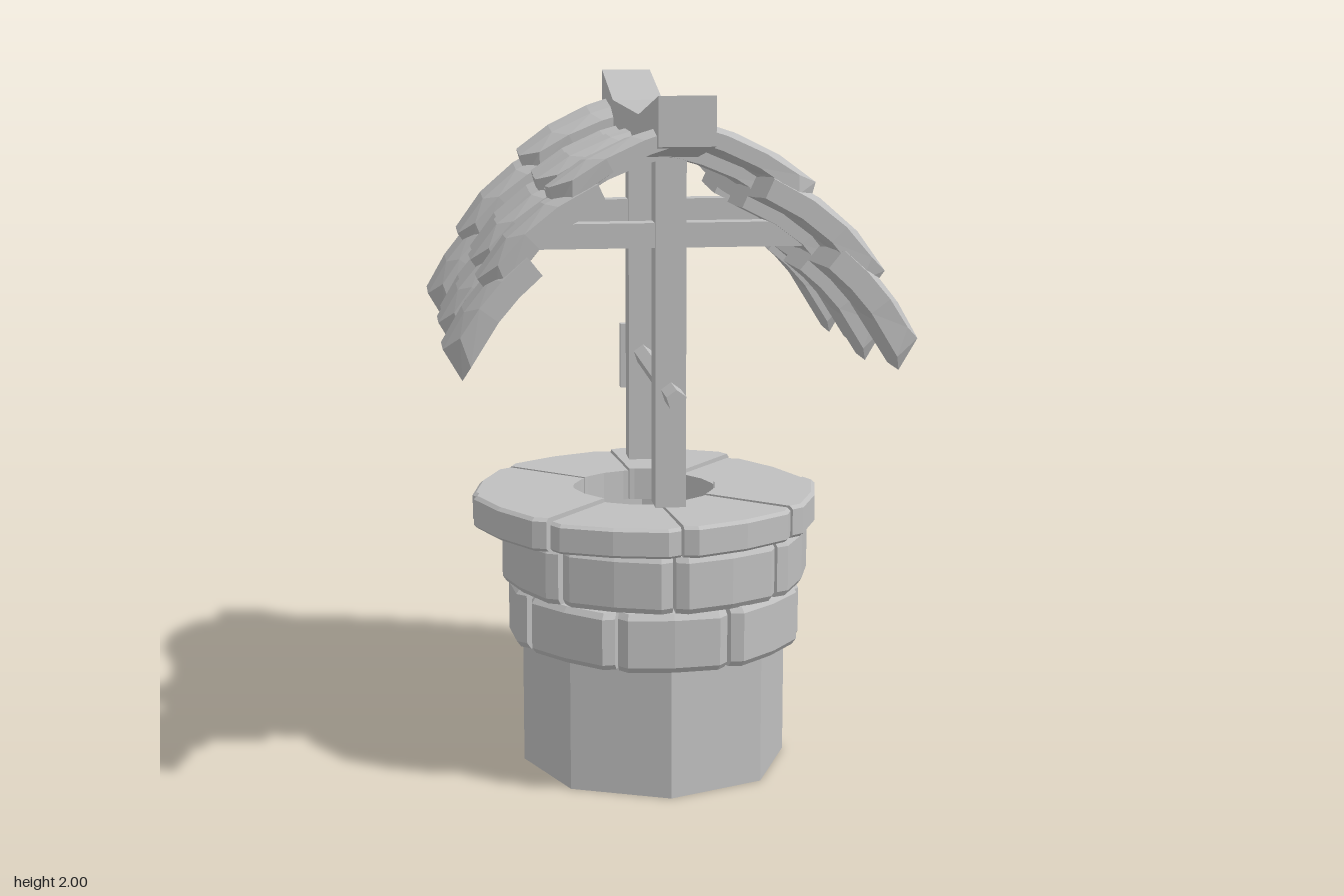
import * as THREE from 'three';

const grey = new THREE.MeshStandardMaterial({ color: 0xbfbfbf, flatShading: true });
grey.name = 'stone grey';

function add(parent, name, geometry, x = 0, y = 0, z = 0) {
  const mesh = new THREE.Mesh(geometry, grey);
  mesh.name = name;
  mesh.position.set(x, y, z);
  parent.add(mesh);
  return mesh;
}

// Moves every vertex of a geometry by a rule
function warp(geometry, rule) {
  const pos = geometry.attributes.position;
  const v = new THREE.Vector3();
  for (let i = 0; i < pos.count; i++) {
    v.fromBufferAttribute(pos, i);
    rule(v);
    pos.setXYZ(i, v.x, v.y, v.z);
  }
  geometry.computeVertexNormals();
  return geometry;
}

// Bevelled block bent around the well; spans `half` radians each side of `angle`
function stone(angle, half, y0, y1, inner, outer, zScale, bevel) {
  return warp(new THREE.BoxGeometry(2, 2, 1, 4, 3, 1), (v) => {
    const edgeA = Math.abs(v.x) > 0.9, edgeY = Math.abs(v.y) > 0.9;
    const a = angle + half * Math.sign(Math.round(v.x * 4)) * (edgeA ? 1 : Math.abs(v.x) > 0.1 ? 0.8 : 0);
    const y = (y0 + y1) / 2 + ((y1 - y0) / 2) * Math.sign(v.y) * (edgeY ? 1 : 0.8);
    let r = inner;
    if (v.z > 0) {
      r = outer - (edgeA ? bevel : 0) - (edgeY ? bevel * 0.7 : 0);
      if (Math.abs(v.x) < 0.1) r -= 0.008;
    }
    v.set(r * Math.sin(a), y, r * Math.cos(a) * zScale);
  });
}

// Curved roof tile: follows a slope path, chamfered at its lower corners,
// with the underside reaching past the top; `sink` lowers the whole tile
function shingle(path, z0, halfWidth, sink, thick, lip) {
  const [a, m, b] = path.map((p) => new THREE.Vector2(p[0], p[1]));
  const control = m.clone().multiplyScalar(2).sub(a.clone().add(b).multiplyScalar(0.5));
  const curve = new THREE.QuadraticBezierCurve(a, control, b);
  return warp(new THREE.BoxGeometry(1, 1, 2, 3, 1, 4), (v) => {
    const side = Math.max(0, Math.abs(v.z) - 0.5) * 2;
    const end = v.x > 0.4;
    const t = (v.x + 0.5) * (1 - 0.16 * side);
    const p = curve.getPoint(t), tan = curve.getTangent(t);
    const drop = sink + (v.y > 0 ? 0.02 * side : thick);
    const ahead = end && v.y < 0 ? lip : 0;
    const z = z0 + v.z * halfWidth * (end ? 0.94 : 1);
    const sag = 0.05 * (1 - Math.min(1, (z / 0.64) ** 2)) * (1 - 0.85 * p.x / 0.64);
    v.set(p.x + tan.y * drop + tan.x * ahead, p.y - tan.x * drop + tan.y * ahead - sag, z);
  });
}

export function createModel() {
  const model = new THREE.Group();
  model.name = 'wishingWell';

  // Hollow eight-sided shaft
  const wall = [[0.3, 0], [0.39, 0], [0.39, 0.74], [0.3, 0.74], [0.3, 0]];
  add(model, 'shaft', new THREE.LatheGeometry(wall.map((p) => new THREE.Vector2(...p)), 8));

  // Two staggered stone courses and the rim slabs
  const step = Math.PI / 4;
  const lower = new THREE.Group(), upper = new THREE.Group(), rim = new THREE.Group();
  lower.name = 'lowerCourse';
  upper.name = 'upperCourse';
  rim.name = 'rim';
  for (let i = 0; i < 8; i++) {
    const wobble = 0.006 * Math.sin(i * 2.4);
    add(lower, 'lowerStone', stone(i * step, step * 0.485, 0.39, 0.56 + wobble, 0.32, 0.432 + wobble, 1.08, 0.018));
    add(upper, 'upperStone', stone((i + 0.5) * step, step * 0.488, 0.562, 0.725, 0.32, 0.446 + wobble, 1.06, 0.015));
    add(rim, 'rimSlab', stone((i + 0.62) * step, step * 0.492, 0.73, 0.82 + wobble, 0.21, 0.507 + wobble, 1.04, 0.015));
  }
  rim.position.set(-0.028, 0, -0.018);
  model.add(lower, upper, rim);

  // Posts and roof cross beams
  for (const z of [0.325, -0.315]) {
    add(model, 'post', new THREE.BoxGeometry(0.085, 1.0, 0.085), 0, 1.345, z);
    add(model, 'crossBeam', new THREE.BoxGeometry(0.76, 0.068, 0.06), 0, 1.603, z);
  }

  // Winding axle with crank at the back
  const rod = (r, length) => new THREE.CylinderGeometry(r, r, length, 5).rotateX(-Math.PI / 2);
  add(model, 'axle', rod(0.029, 0.97), 0, 1.17, 0);
  add(model, 'crankArm', new THREE.BoxGeometry(0.09, 0.2, 0.028), 0, 1.13, -0.495);
  add(model, 'crankHandle', rod(0.02, 0.12), 0, 1.08, -0.55);

  // Sagging ridge beam
  const ridge = new THREE.Shape([
    [-0.69, 1.87], [-0.38, 1.8], [0.27, 1.8], [0.7, 1.87],
    [0.7, 2.0], [0.27, 1.925], [-0.38, 1.925], [-0.69, 2.0],
  ].map((p) => new THREE.Vector2(...p)));
  const ridgeGeometry = new THREE.ExtrudeGeometry(ridge, { depth: 0.15, bevelEnabled: false });
  add(model, 'ridgeBeam', ridgeGeometry.rotateY(-Math.PI / 2), 0.073);

  // Roof: three overlapping rows of five tiles on each side
  const rows = [
    { path: [[0, 1.95], [0.2, 1.875], [0.355, 1.77]], thick: 0.06, lip: 0.03 },
    { path: [[0.24, 1.8], [0.42, 1.685], [0.545, 1.53]], thick: 0.075, lip: 0.035 },
    { path: [[0.43, 1.61], [0.548, 1.49], [0.638, 1.345]], thick: 0.082, lip: 0.055 },
  ];
  const columns = [
    [0.515, 0.145, 0], [0.245, 0.13, 0.035], [-0.01, 0.133, 0.015], [-0.26, 0.13, 0.035], [-0.52, 0.145, 0.008],
  ];
  for (const left of [true, false]) {
    const side = new THREE.Group();
    side.name = left ? 'leftRoof' : 'rightRoof';
    for (const { path, thick, lip } of rows) {
      for (const [z, half, sink] of columns) {
        add(side, 'roofTile', shingle(path, z, half, sink, thick, lip));
      }
    }
    if (!left) side.rotation.y = Math.PI;
    model.add(side);
  }
  return model;
}
